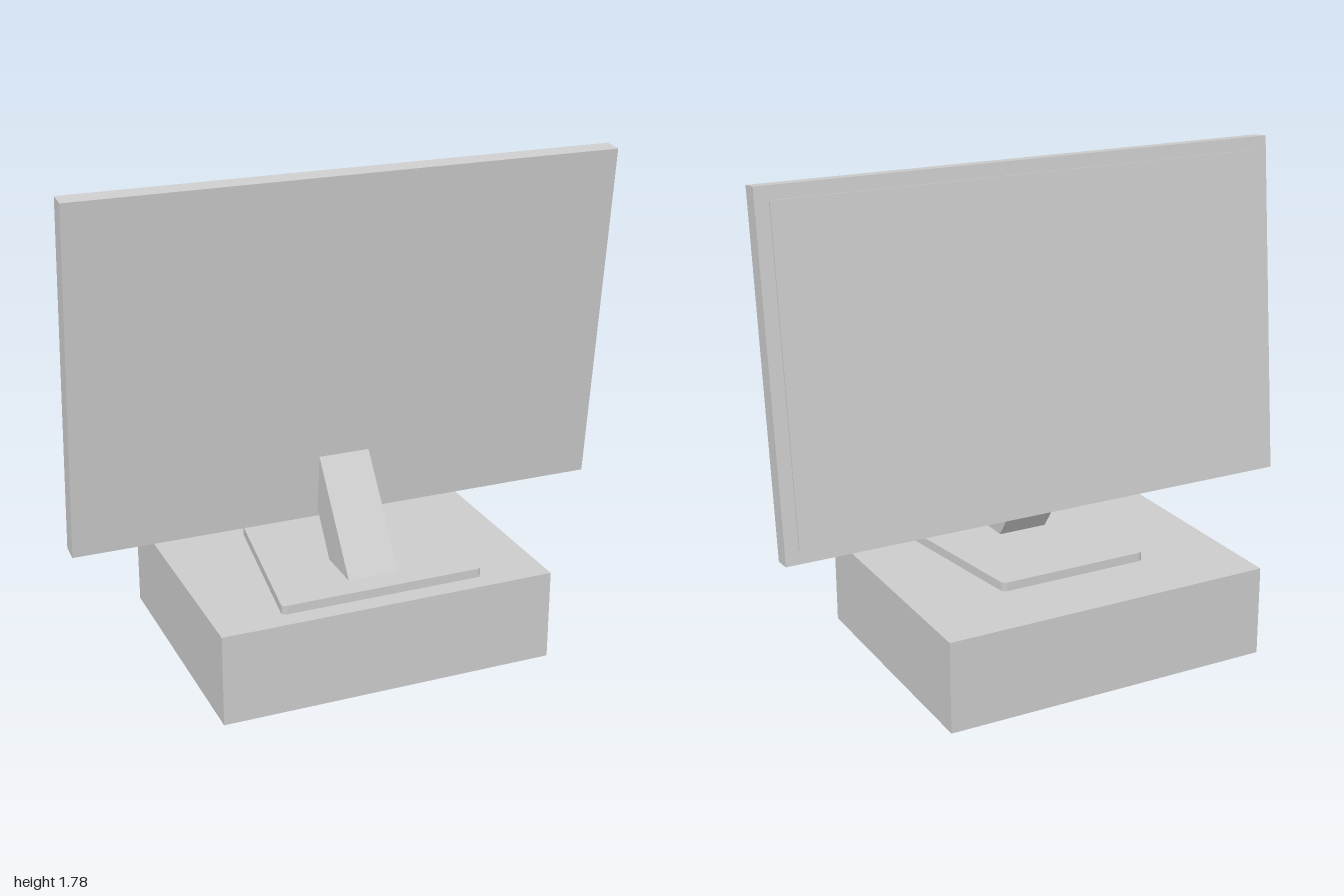
import * as THREE from 'three';

const material = new THREE.MeshStandardMaterial({ color: 0xcccccc, flatShading: true });

function addPart(parent, name, geometry, x = 0, y = 0, z = 0) {
  const mesh = new THREE.Mesh(geometry, material);
  mesh.name = name;
  mesh.position.set(x, y, z);
  parent.add(mesh);
  return mesh;
}

// Closed outline with each corner rounded by a short curve
function roundedOutline(points, radius) {
  const shape = new THREE.Shape();
  const corners = points.map(([x, y]) => new THREE.Vector2(x, y));
  corners.forEach((c, i) => {
    const prev = corners[(i + corners.length - 1) % corners.length];
    const next = corners[(i + 1) % corners.length];
    const start = prev.clone().sub(c).setLength(radius).add(c);
    const end = next.clone().sub(c).setLength(radius).add(c);
    if (i === 0) shape.moveTo(start.x, start.y);
    else shape.lineTo(start.x, start.y);
    shape.quadraticCurveTo(c.x, c.y, end.x, end.y);
  });
  shape.closePath();
  return shape;
}

export function createModel() {
  const model = new THREE.Group();
  model.name = 'monitor';

  // Block the monitor stands on
  addPart(model, 'baseBlock', new THREE.BoxGeometry(1.24, 0.335, 1), 0, 0.1675, 0);

  // Tapered foot plate, narrower towards the screen side
  const footShape = roundedOutline(
    [[-0.38, -0.43], [0.38, -0.43], [0.285, 0.235], [-0.285, 0.235]], 0.02);
  const foot = new THREE.ExtrudeGeometry(footShape, { depth: 0.033, bevelEnabled: false, curveSegments: 4 });
  foot.rotateX(-Math.PI / 2);
  addPart(model, 'footPlate', foot, 0, 0.335, 0);

  // Slanted neck, drawn from the side as (z, y), ending inside the panel
  const neckShape = new THREE.Shape(
    [[0.16, 0.367], [0.34, 0.367], [0.06, 0.744], [0.03, 0.548]].map(([z, y]) => new THREE.Vector2(z, y)));
  const neck = new THREE.ExtrudeGeometry(neckShape, { depth: 0.19, bevelEnabled: false });
  neck.translate(0, 0, -0.095);
  neck.rotateY(-Math.PI / 2);
  addPart(model, 'neck', neck);

  // Tilted panel with a thin raised screen on its -z side
  const display = new THREE.Group();
  display.name = 'display';
  display.position.set(0, 1.135, 0.073);
  display.rotation.x = 0.0975;
  addPart(display, 'panel', new THREE.BoxGeometry(2, 1.283, 0.07));
  addPart(display, 'screen', new THREE.BoxGeometry(1.9, 1.185, 0.02), 0, 0, -0.032);
  model.add(display);

  return model;
}
